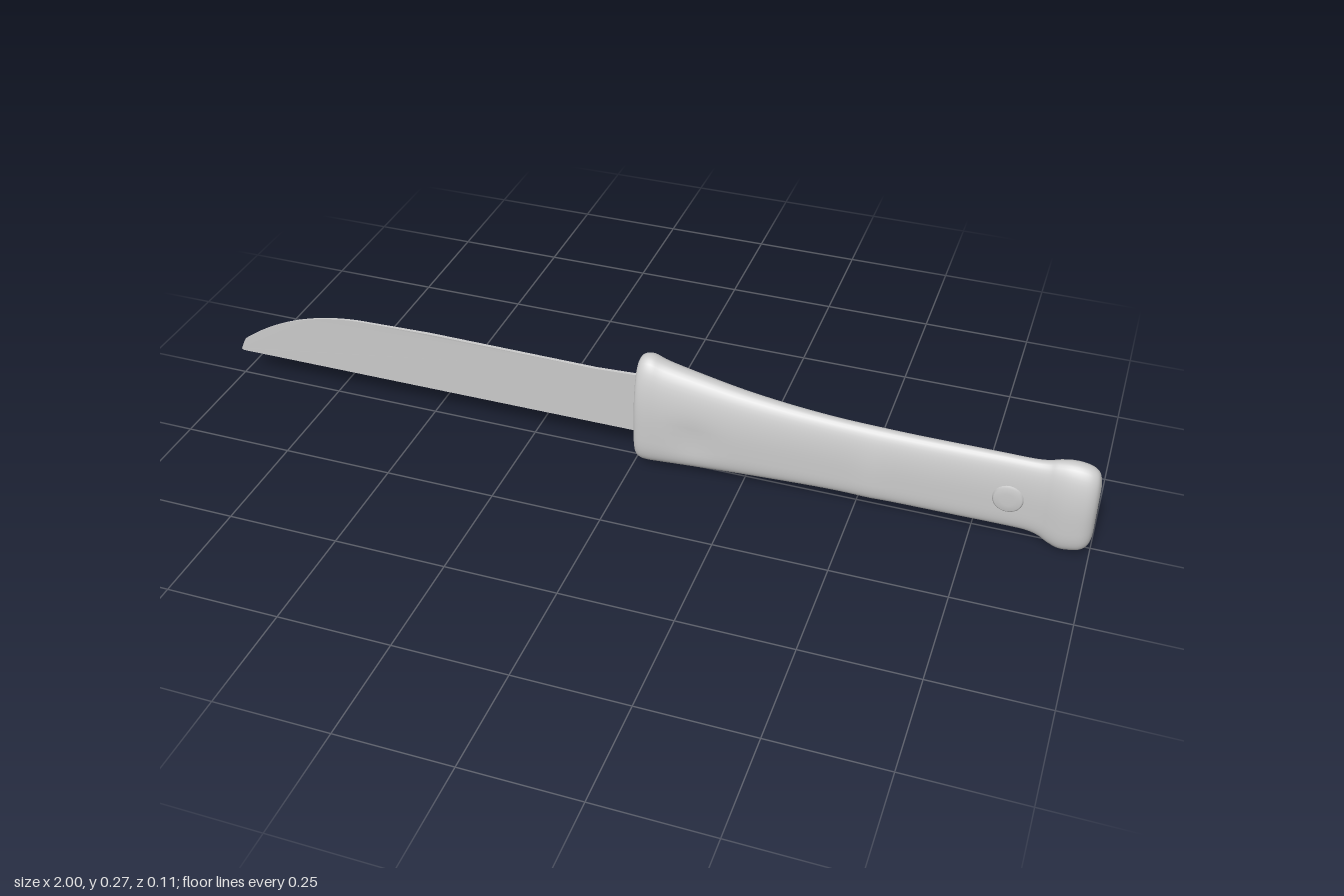
import * as THREE from 'three';

const material = new THREE.MeshStandardMaterial({ color: 0xcccccc, side: THREE.DoubleSide });

// Handle stations: x, bottom, top, half width
const stations = [
  [0.0, 0.045, 0.235, 0.03], [0.004, 0.026, 0.26, 0.044], [0.015, 0.016, 0.272, 0.051],
  [0.035, 0.014, 0.274, 0.053], [0.065, 0.015, 0.263, 0.051], [0.13, 0.018, 0.248, 0.047],
  [0.23, 0.022, 0.228, 0.041], [0.33, 0.025, 0.214, 0.036], [0.43, 0.027, 0.205, 0.032],
  [0.52, 0.027, 0.201, 0.031], [0.62, 0.027, 0.199, 0.030], [0.72, 0.027, 0.199, 0.029],
  [0.8, 0.027, 0.199, 0.028], [0.86, 0.026, 0.199, 0.028], [0.89, 0.02, 0.202, 0.031],
  [0.91, 0.01, 0.208, 0.036], [0.935, 0.002, 0.212, 0.041], [0.96, 0.004, 0.211, 0.042],
  [0.98, 0.009, 0.205, 0.039], [0.993, 0.02, 0.193, 0.031], [0.999, 0.038, 0.17, 0.02],
  [1.0, 0.06, 0.15, 0.008],
];

const gauss = (d, w) => Math.exp(-((d / w) ** 2));

function handleGeometry() {
  const lower = new THREE.SplineCurve(stations.map(s => new THREE.Vector2(s[0], s[1])));
  const upper = new THREE.SplineCurve(stations.map(s => new THREE.Vector2(s[2], s[3])));
  const rows = (stations.length - 1) * 5, sides = 48;
  const pos = [], index = [];
  for (let i = 0; i <= rows; i++) {
    const { x, y: bottom } = lower.getPoint(i / rows);
    const { x: top, y: half } = upper.getPoint(i / rows);
    const mid = bottom + 0.4 * (top - bottom);
    for (let j = 0; j < sides; j++) {
      const a = (j / sides) * Math.PI * 2, c = Math.cos(a), s = Math.sin(a);
      // Rounded arch above, squarer belly below
      const e = s > 0 ? 2 / 2.25 : 2 / 4;
      const y = mid + Math.sign(s) * Math.abs(s) ** e * (s > 0 ? top - mid : mid - bottom);
      let z = Math.sign(c) * Math.abs(c) ** e * half;
      // Finger ridge and shallow thumb dent on the cheeks
      z *= 1 + 0.1 * gauss(x - 0.53, 0.03) * gauss(y - 0.06, 0.08);
      z *= 1 - 0.1 * gauss(x - 0.14, 0.05) * gauss(y - 0.1, 0.04);
      pos.push(x, y, z);
      if (i < rows) {
        const k = (j + 1) % sides, p = i * sides, q = p + sides;
        index.push(p + j, p + k, q + j, p + k, q + k, q + j);
      }
    }
  }
  // End caps
  for (const [row, x, flip] of [[0, 0, false], [rows, 1, true]]) {
    const centre = pos.length / 3, p = row * sides;
    pos.push(x, row ? 0.102 : 0.125, 0);
    for (let j = 0; j < sides; j++) {
      const k = (j + 1) % sides;
      index.push(centre, p + (flip ? j : k), p + (flip ? k : j));
    }
  }
  const g = new THREE.BufferGeometry();
  g.setAttribute('position', new THREE.Float32BufferAttribute(pos, 3));
  g.setIndex(index);
  g.computeVertexNormals();
  return g;
}

function bladeGeometry() {
  const s = new THREE.Shape();
  s.moveTo(0.04, 0.065);
  s.lineTo(0.04, 0.218);
  s.lineTo(-0.1, 0.212);
  s.lineTo(-0.5, 0.216);
  s.lineTo(-0.68, 0.212);
  s.bezierCurveTo(-0.8, 0.205, -0.9, 0.165, -0.985, 0.1);
  s.quadraticCurveTo(-0.993, 0.085, -1, 0.068);
  s.lineTo(-0.995, 0.065);
  s.closePath();
  const g = new THREE.ExtrudeGeometry(s, { depth: 0.008, bevelEnabled: false, curveSegments: 16 });
  g.translate(0, 0, -0.004);
  // Thin towards the cutting edge and the tip
  const p = g.attributes.position;
  for (let i = 0; i < p.count; i++) {
    const edge = 0.25 + 0.75 * Math.min(1, (p.getY(i) - 0.065) / 0.15);
    const tip = 0.5 + 0.5 * Math.min(1, (p.getX(i) + 1) / 0.5);
    p.setZ(i, p.getZ(i) * edge * tip);
  }
  g.computeVertexNormals();
  return g;
}

// Low domed pin facing +z
function rivetGeometry() {
  const profile = [[0.033, -0.008], [0.033, 0.0], [0.029, 0.003], [0.015, 0.004], [0, 0.004]];
  const g = new THREE.LatheGeometry(profile.map(p => new THREE.Vector2(...p)), 28);
  return g.rotateX(Math.PI / 2);
}

export function createModel() {
  const model = new THREE.Group();
  const add = (name, geometry) => {
    const mesh = new THREE.Mesh(geometry, material);
    mesh.name = name;
    model.add(mesh);
    return mesh;
  };
  add('blade', bladeGeometry());
  add('handle', handleGeometry());

  // Rear rivet on both cheeks, front rivet on the back cheek
  const rivet = rivetGeometry();
  for (const [name, x, y, z, side] of [
    ['rearRivetFront', 0.82, 0.106, 0.0275, 1],
    ['rearRivetBack', 0.82, 0.106, 0.0275, -1],
    ['frontRivetBack', 0.14, 0.106, 0.043, -1],
  ]) {
    const mesh = add(name, rivet);
    mesh.position.set(x, y, z * side);
    if (side < 0) mesh.rotation.y = Math.PI;
  }
  return model;
}
